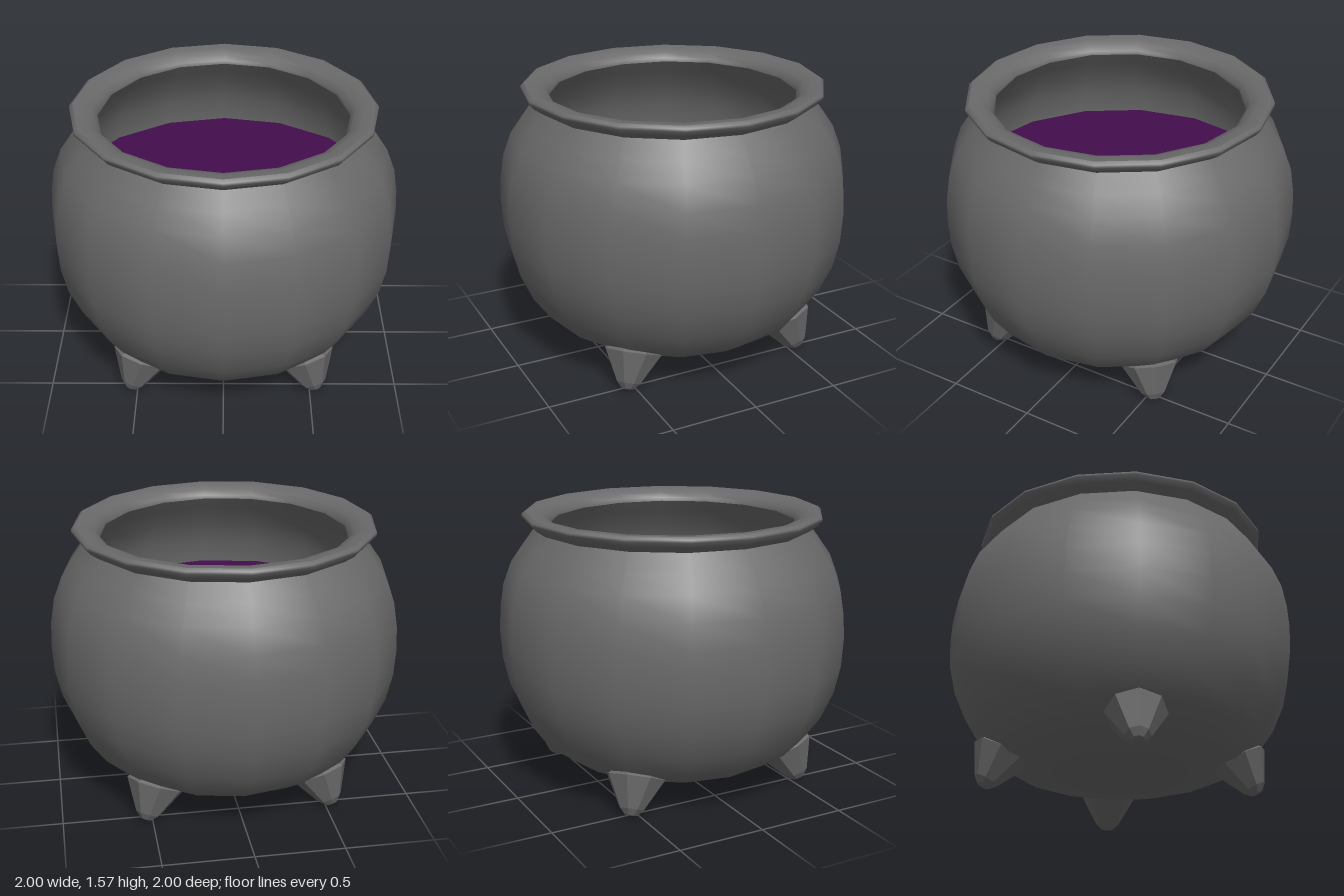
import * as THREE from 'three';

const iron = new THREE.MeshStandardMaterial({ color: 0x6a6a6a });
iron.name = 'iron grey';
const brew = new THREE.MeshStandardMaterial({ color: 0x430d4c });
brew.name = 'brew purple';

const SIDES = 16;

// Revolve [radius, height] pairs around the y axis
function lathe(points, sides) {
  return new THREE.LatheGeometry(points.map(([r, y]) => new THREE.Vector2(r, y)), sides);
}

function part(name, geometry, material) {
  const mesh = new THREE.Mesh(geometry, material);
  mesh.name = name;
  return mesh;
}

export function createModel() {
  const model = new THREE.Group();
  model.name = 'cauldron';

  // Round belly, smooth shaded
  model.add(part('belly', lathe([
    [0, 0.105], [0.36, 0.11], [0.53, 0.13], [0.66, 0.175], [0.79, 0.265], [0.885, 0.4],
    [0.955, 0.56], [0.99, 0.72], [1, 0.88], [0.993, 1.02], [0.97, 1.16],
    [0.92, 1.29], [0.85, 1.39], [0.78, 1.485],
  ], SIDES), iron));

  // Flared lip, from the underside over the top to the mouth
  model.add(part('rimUnderside', lathe([
    [0.78, 1.48], [0.83, 1.515], [0.855, 1.545], [0.853, 1.56], [0.835, 1.573],
  ], SIDES), iron));
  model.add(part('rimTop', lathe([
    [0.835, 1.573], [0.78, 1.57], [0.73, 1.55], [0.705, 1.52], [0.7, 1.5],
  ], SIDES), iron));

  // Inner wall down to just below the brew
  model.add(part('innerWall', lathe([
    [0.7, 1.5], [0.75, 1.43], [0.84, 1.31], [0.9, 1.17], [0.925, 1.03], [0.93, 0.9],
  ], SIDES), iron));

  // Brew surface
  const surface = new THREE.CircleGeometry(0.926, SIDES).rotateX(-Math.PI / 2);
  surface.translate(0, 1.02, 0);
  model.add(part('brew', surface, brew));

  // Four faceted stub feet, splayed outwards on the diagonals
  const footGeometry = lathe([
    [0, -0.215], [0.035, -0.21], [0.07, -0.175], [0.168, 0], [0.1, 0.06], [0, 0.06],
  ], 8).toNonIndexed();
  footGeometry.computeVertexNormals();
  for (const sx of [-1, 1]) {
    for (const sz of [-1, 1]) {
      const side = (sz > 0 ? 'front' : 'back') + (sx > 0 ? 'Left' : 'Right');
      const foot = part(side + 'Foot', footGeometry, iron);
      foot.position.set(sx * 0.47, 0.205, sz * 0.485);
      foot.rotation.set(-0.46, Math.atan2(sx, sz), 0, 'YXZ');
      model.add(foot);
    }
  }

  return model;
}
